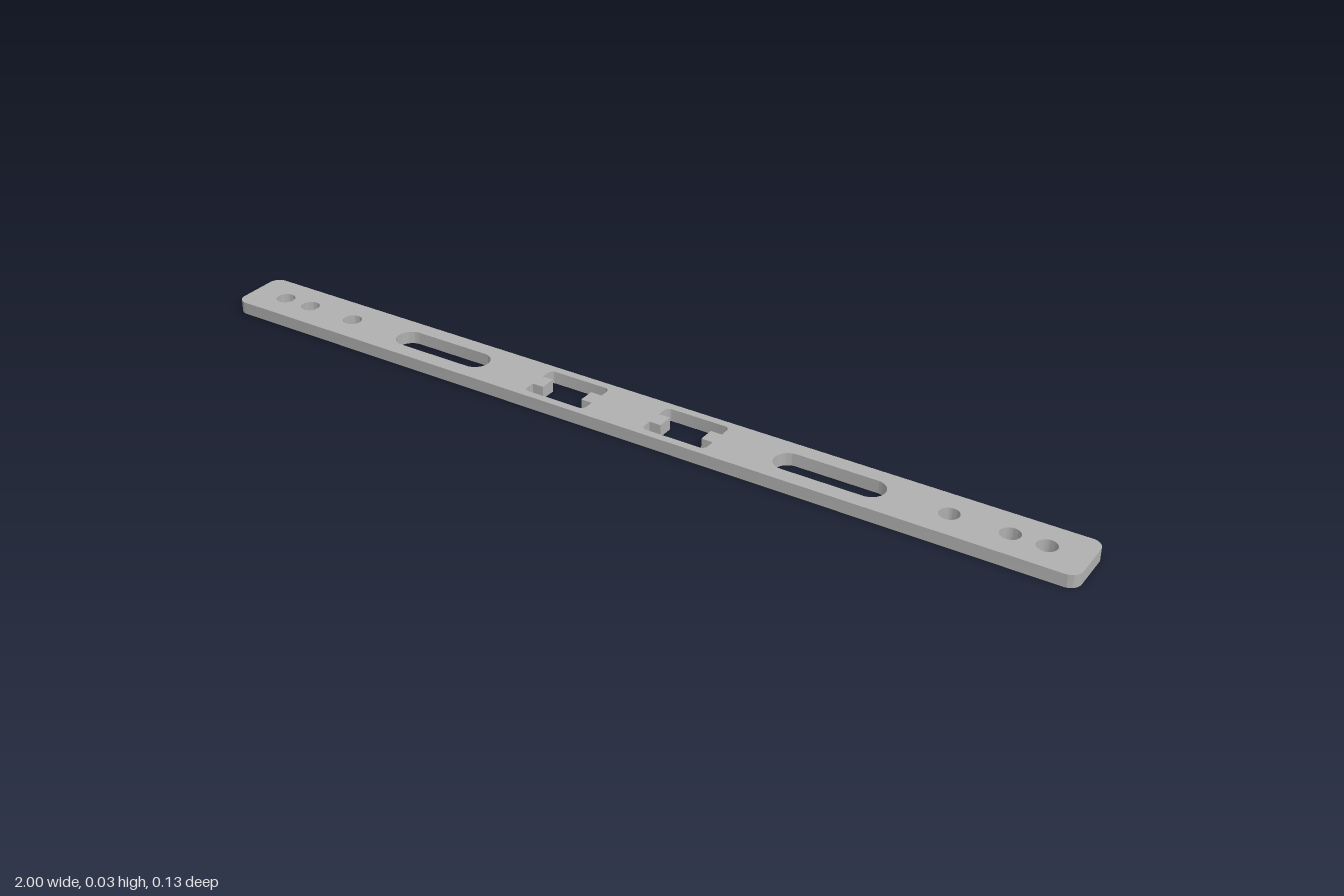
import * as THREE from 'three';
import { toCreasedNormals } from 'three/addons/utils/BufferGeometryUtils.js';

const HEIGHT = 0.028;

// Rounded rectangle; r equal to half the height gives a slot.
function roundedRect(path, cx, hw, hh, r) {
  const H = Math.PI / 2;
  path.moveTo(cx - hw + r, -hh);
  path.absarc(cx + hw - r, -hh + r, r, -H, 0);
  path.absarc(cx + hw - r, hh - r, r, 0, H);
  path.absarc(cx - hw + r, hh - r, r, H, 2 * H);
  path.absarc(cx - hw + r, -hh + r, r, 2 * H, 3 * H);
  path.closePath();
  return path;
}

// H-shaped opening: a rounded rectangle with a tab reaching in from each end.
function tabbedOpening(cx) {
  const hw = 0.074, hh = 0.049, r = 0.012, tab = 0.018, depth = 0.026, H = Math.PI / 2;
  const p = new THREE.Path();
  p.moveTo(cx - hw + r, -hh);
  p.absarc(cx + hw - r, -hh + r, r, -H, 0);
  p.lineTo(cx + hw, -tab);
  p.lineTo(cx + hw - depth, -tab);
  p.lineTo(cx + hw - depth, tab);
  p.lineTo(cx + hw, tab);
  p.absarc(cx + hw - r, hh - r, r, 0, H);
  p.absarc(cx - hw + r, hh - r, r, H, 2 * H);
  p.lineTo(cx - hw, tab);
  p.lineTo(cx - hw + depth, tab);
  p.lineTo(cx - hw + depth, -tab);
  p.lineTo(cx - hw, -tab);
  p.absarc(cx - hw + r, -hh + r, r, 2 * H, 3 * H);
  p.closePath();
  return p;
}

// Upright wall following a closed outline; inward for openings.
function wallGeometry(path, inward) {
  const pts = path.getPoints(12).filter((p, i, a) => i === 0 || p.distanceTo(a[i - 1]) > 1e-5);
  if (pts[0].distanceTo(pts[pts.length - 1]) < 1e-5) pts.pop();
  if (inward) pts.reverse();
  const pos = [];
  pts.forEach((a, i) => {
    const b = pts[(i + 1) % pts.length];
    pos.push(a.x, a.y, 0, b.x, b.y, 0, b.x, b.y, HEIGHT);
    pos.push(a.x, a.y, 0, b.x, b.y, HEIGHT, a.x, a.y, HEIGHT);
  });
  const g = new THREE.BufferGeometry();
  g.setAttribute('position', new THREE.Float32BufferAttribute(pos, 3));
  g.rotateX(-Math.PI / 2);
  return toCreasedNormals(g, 0.6);
}

export function createModel() {
  const group = new THREE.Group();
  group.name = 'mountingBar';
  const steel = new THREE.MeshStandardMaterial({ color: 0xb0b0b0, side: THREE.DoubleSide });
  steel.name = 'grey metal';
  const add = (name, geometry) => {
    const mesh = new THREE.Mesh(geometry, steel);
    mesh.name = name;
    group.add(mesh);
  };

  const outline = roundedRect(new THREE.Shape(), 0, 1, 0.067, 0.025);

  // Openings, mirrored on both halves
  for (const s of [-1, 1]) {
    const openings = [];
    for (const x of [0.72, 0.842, 0.914]) {
      openings.push(['screwHole', new THREE.Path().absarc(s * x, 0, 0.021, 0, Math.PI * 2)]);
    }
    openings.push(['slot', roundedRect(new THREE.Path(), s * 0.468, 0.12, 0.032, 0.032)]);
    openings.push(['tabbedOpening', tabbedOpening(s * 0.144)]);
    for (const [name, path] of openings) {
      outline.holes.push(path);
      add(name + 'Wall', wallGeometry(path, true));
    }
  }

  // Top plate and outer rim; the underside is open
  const plate = new THREE.ShapeGeometry(outline, 12);
  plate.rotateX(-Math.PI / 2);
  plate.translate(0, HEIGHT, 0);
  add('topPlate', plate);
  add('outerRim', wallGeometry(outline, false));

  return group;
}
